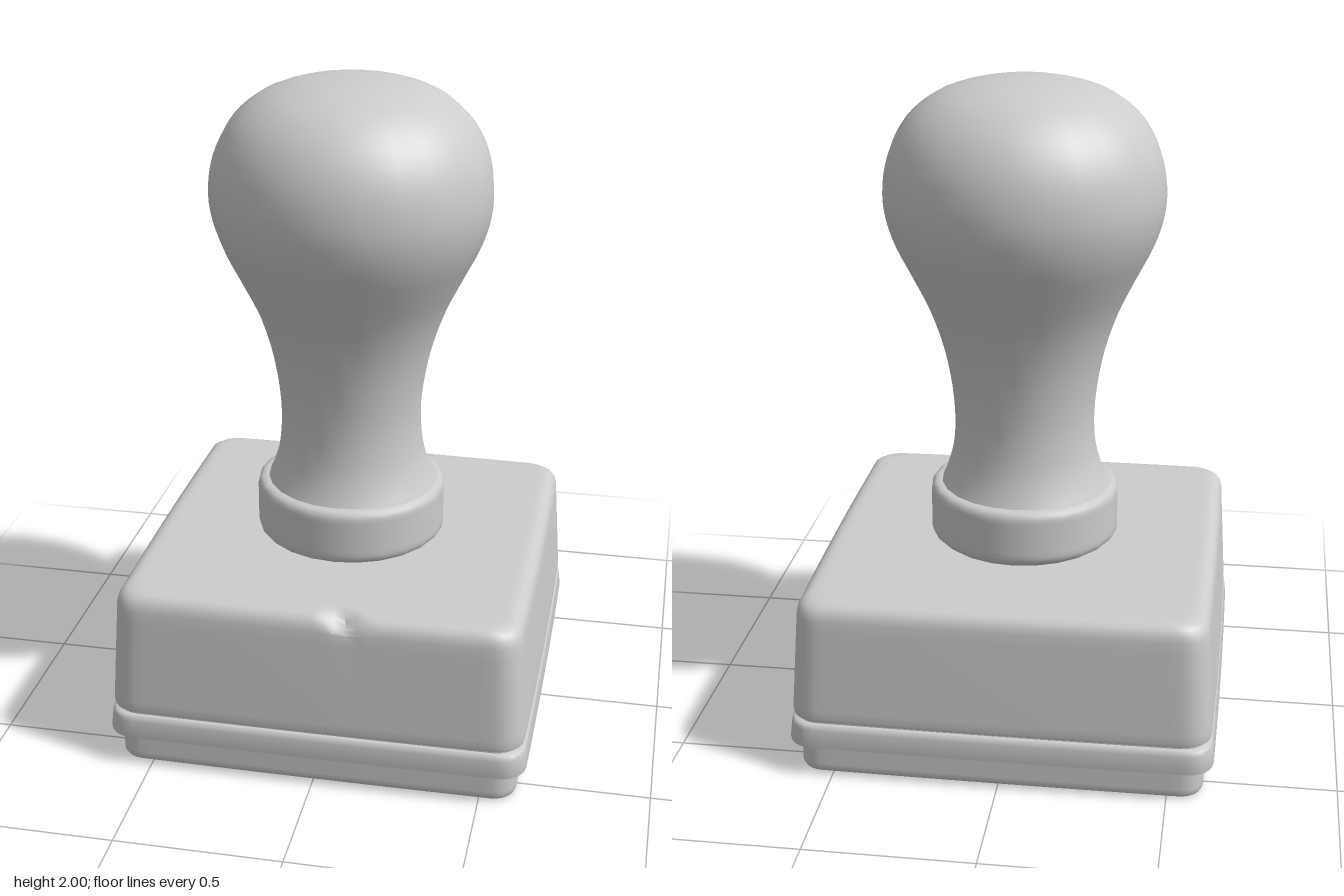
import * as THREE from 'three';
import { toCreasedNormals } from 'three/addons/utils/BufferGeometryUtils.js';

// Square outline with rounded corners and slightly bowed sides, half width 1
function squareOutline(radius, bow, edgeSteps = 32, cornerSteps = 6) {
  const points = [];
  const flat = 1 - radius;
  for (let side = 0; side < 4; side++) {
    const turn = side * Math.PI / 2;
    const add = (u, v) => points.push([
      u * Math.cos(turn) - v * Math.sin(turn),
      u * Math.sin(turn) + v * Math.cos(turn),
    ]);
    for (let i = 0; i <= edgeSteps; i++) {
      const t = -1 + 2 * i / edgeSteps;
      add(1 + bow * (1 - t * t), t * flat);
    }
    for (let i = 1; i < cornerSteps; i++) {
      const a = i / cornerSteps * Math.PI / 2;
      add(flat + radius * Math.cos(a), flat + radius * Math.sin(a));
    }
  }
  return points;
}

// Stack of outlines, each profile entry being [half width, height]; ends closed at the centre
function squareLoft(profile, radius, bow, adjust) {
  const outline = squareOutline(radius, bow);
  const rings = [[0, profile[0][1]], ...profile, [0, profile[profile.length - 1][1]]];
  const n = outline.length;
  const positions = [];
  const index = [];
  const p = new THREE.Vector3();
  rings.forEach(([half, y], k) => outline.forEach(([u, v], j) => {
    p.set(u * half, y, -v * half);
    if (adjust) adjust(p);
    positions.push(p.x, p.y, p.z);
    if (k === rings.length - 1) return;
    const a = k * n + j, b = k * n + (j + 1) % n;
    if (k > 0) index.push(a, b, a + n);
    else index.push(a, b + n, a + n);
    if (k > 0 && k < rings.length - 2) index.push(b, b + n, a + n);
  }));
  const geometry = new THREE.BufferGeometry();
  geometry.setAttribute('position', new THREE.Float32BufferAttribute(positions, 3));
  geometry.setIndex(index);
  return toCreasedNormals(geometry, 0.7);
}

function lathe(points, segments = 24) {
  return new THREE.LatheGeometry(points.map(([r, y]) => new THREE.Vector2(r, y)), segments);
}

export function createModel() {
  const model = new THREE.Group();
  const grey = new THREE.MeshStandardMaterial({ color: 0xcccccc });
  grey.name = 'plain grey';
  const add = (name, geometry) => {
    const mesh = new THREE.Mesh(geometry, grey);
    mesh.name = name;
    model.add(mesh);
  };

  // Stamping pad at the bottom
  add('stampPad', squareLoft([
    [0.57, 0], [0.592, 0.001], [0.601, 0.006], [0.605, 0.015],
    [0.605, 0.03], [0.605, 0.11],
  ], 0.11, 0.005));

  // Projecting rim above the pad
  add('rim', squareLoft([
    [0.6, 0.097], [0.628, 0.097], [0.634, 0.1], [0.635, 0.106],
    [0.63, 0.155], [0.628, 0.166], [0.622, 0.172], [0.6, 0.173],
  ], 0.12, 0.006));

  // Recessed seam between the rim and the block
  add('seam', squareLoft([[0.612, 0.165], [0.612, 0.19]], 0.12, 0.005));

  // Block with a slightly sloping top and a small nick in its front edge
  const nick = new THREE.Vector3(0.085, 0.56, 0.595);
  add('block', squareLoft([
    [0.59, 0.179], [0.617, 0.18], [0.624, 0.185], [0.626, 0.195], [0.625, 0.22],
    [0.609, 0.48], [0.607, 0.515], [0.603, 0.535], [0.594, 0.551], [0.581, 0.561],
    [0.567, 0.565], [0.552, 0.566], [0.535, 0.566], [0.5, 0.566],
  ], 0.13, 0.008, (p) => {
    const depth = 0.03 * Math.max(0, 1 - p.distanceTo(nick) / 0.055);
    const lift = THREE.MathUtils.clamp((p.y - 0.3) / 0.26, 0, 1);
    p.y += lift * (0.008 * p.z - 0.005 * p.x - 0.003) - depth;
    p.z -= depth * 0.6;
  }));

  // Round collar that seats the handle
  add('collar', lathe([
    [0, 0.55], [0.26, 0.55], [0.27, 0.565], [0.282, 0.572], [0.29, 0.581],
    [0.293, 0.595], [0.293, 0.61], [0.293, 0.705], [0.293, 0.718], [0.289, 0.731],
    [0.28, 0.739], [0.268, 0.742], [0.25, 0.742], [0, 0.742],
  ]));

  // Waisted handle with a bulbous grip
  const grip = new THREE.SplineCurve([
    [0.262, 0.735], [0.243, 0.78], [0.224, 0.85], [0.216, 0.95], [0.224, 1.06],
    [0.247, 1.18], [0.287, 1.3], [0.34, 1.41], [0.385, 1.5], [0.412, 1.58],
    [0.422, 1.66], [0.412, 1.75], [0.382, 1.83], [0.33, 1.9], [0.25, 1.956],
    [0.13, 1.991], [0, 2],
  ].map(([r, y]) => new THREE.Vector2(r, y)));
  const profile = grip.getPoints(48).map((q) => [Math.max(0, q.x), Math.min(2, q.y)]);
  add('handle', lathe(profile));

  return model;
}
